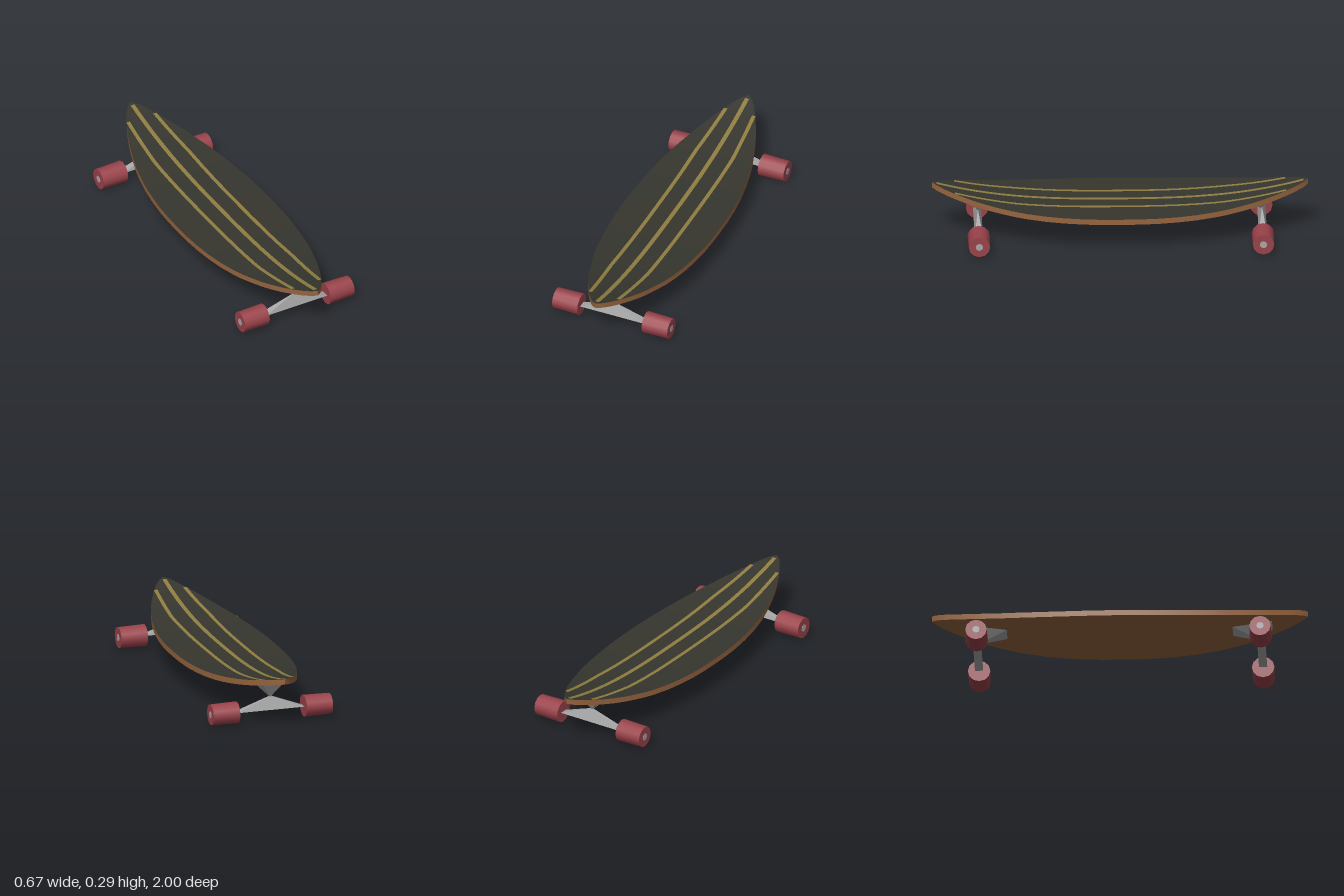
import * as THREE from 'three';
import { ConvexGeometry } from 'three/addons/geometries/ConvexGeometry.js';

const THICK = 0.03, TRUCK_Z = 0.755, AXLE_Y = 0.062;

// Half widths of the deck, as [z, half width]
const OUTLINE = [[0, 0.28], [0.1, 0.279], [0.2, 0.274], [0.3, 0.264], [0.4, 0.25], [0.5, 0.23], [0.56, 0.215],
  [0.63, 0.193], [0.7, 0.17], [0.76, 0.147], [0.82, 0.12], [0.88, 0.09], [0.93, 0.062], [0.975, 0.03], [1, 0]];
const STATIONS = [...OUTLINE.slice(1).reverse().map(([z, w]) => [-z, w]), ...OUTLINE];

// Height of the deck's underside
const bottomY = z => 0.16 + 0.107 * Math.pow(Math.abs(z), 2.7);

// Surface between two rails that both run towards +z
function strip(a, b) {
  const pos = [], index = [];
  a.forEach((p, i) => {
    pos.push(...p, ...b[i]);
    const k = i * 2;
    if (i < a.length - 1) index.push(k, k + 2, k + 1, k + 2, k + 3, k + 1);
  });
  const g = new THREE.BufferGeometry();
  g.setAttribute('position', new THREE.Float32BufferAttribute(pos, 3));
  g.setIndex(index);
  g.computeVertexNormals();
  return g;
}

export function createModel() {
  const model = new THREE.Group();
  const mat = (name, color) => {
    const m = new THREE.MeshStandardMaterial({ color });
    m.name = name;
    return m;
  };
  const wood = mat('wood', 0x96643e);
  const grip = mat('grip', 0x36362f);
  const gold = mat('gold', 0x8f7d40);
  const metal = mat('metal', 0xa8a8a8);
  const red = mat('red', 0x9a424a);

  const add = (parent, name, geometry, material) => {
    const m = new THREE.Mesh(geometry, material);
    m.name = name;
    parent.add(m);
    return m;
  };

  // Deck: curved boat-shaped board
  const deck = new THREE.Group();
  deck.name = 'deck';
  model.add(deck);
  const rail = (side, lift) => STATIONS.map(([z, w]) => [side * w, bottomY(z) + lift, z]);
  const topL = rail(1, THICK), topR = rail(-1, THICK), lowL = rail(1, 0), lowR = rail(-1, 0);
  add(deck, 'gripSurface', strip(topR, topL), grip);
  add(deck, 'deckUnderside', strip(lowL, lowR), wood);
  add(deck, 'deckEdgeLeft', strip(topL, lowL), wood);
  add(deck, 'deckEdgeRight', strip(lowR, topR), wood);

  // Stripes lying just above the grip
  const stripe = (name, centre, half, reach) => {
    const zs = STATIONS.map(s => s[0]).filter(z => Math.abs(z) <= reach);
    const edge = s => zs.map(z => [centre(z) + s * half, bottomY(z) + THICK + 0.001, z]);
    add(deck, name, strip(edge(-1), edge(1)), gold);
  };
  stripe('centreStripe', () => 0, 0.012, 0.98);
  for (const s of [1, -1]) {
    const bend = z => s * (0.105 - 0.07 * Math.max(0, Math.abs(z) - 0.55));
    stripe(s > 0 ? 'leftStripe' : 'rightStripe', bend, 0.0105, 0.89);
  }

  // Trucks and wheels, mirrored front to back
  const v = (x, y, z) => new THREE.Vector3(x, y, z);
  for (const end of [1, -1]) {
    const truck = new THREE.Group();
    truck.name = end > 0 ? 'frontTruck' : 'backTruck';
    model.add(truck);
    const zc = end * TRUCK_Z;

    // Mount: inverted pyramid whose top follows the deck
    const mount = [v(0, 0.128, zc)];
    for (const x of [-0.057, 0.057]) mount.push(v(x, 0.186, end * 0.6), v(x, 0.218, end * 0.81));
    add(truck, 'mount', new ConvexGeometry(mount), metal);

    // Hanger: wide low pyramid
    const hanger = [v(0, 0.138, zc)];
    for (const x of [-0.187, 0.187]) for (const z of [-0.022, 0.022]) hanger.push(v(x, 0.063, zc + z));
    add(truck, 'hanger', new ConvexGeometry(hanger), metal);

    for (const side of [1, -1]) {
      // Wheel: slightly tapered outwards
      const wheel = new THREE.CylinderGeometry(0.057, 0.06, 0.148, 12);
      wheel.rotateZ(-side * Math.PI / 2);
      add(truck, 'wheel', wheel, red).position.set(side * 0.261, AXLE_Y, zc);
      // Axle end cap
      const cap = new THREE.CylinderGeometry(0.02, 0.02, 0.004, 8);
      cap.rotateZ(-side * Math.PI / 2);
      add(truck, 'axleCap', cap, metal).position.set(side * 0.3345, AXLE_Y, zc);
    }
  }
  return model;
}
